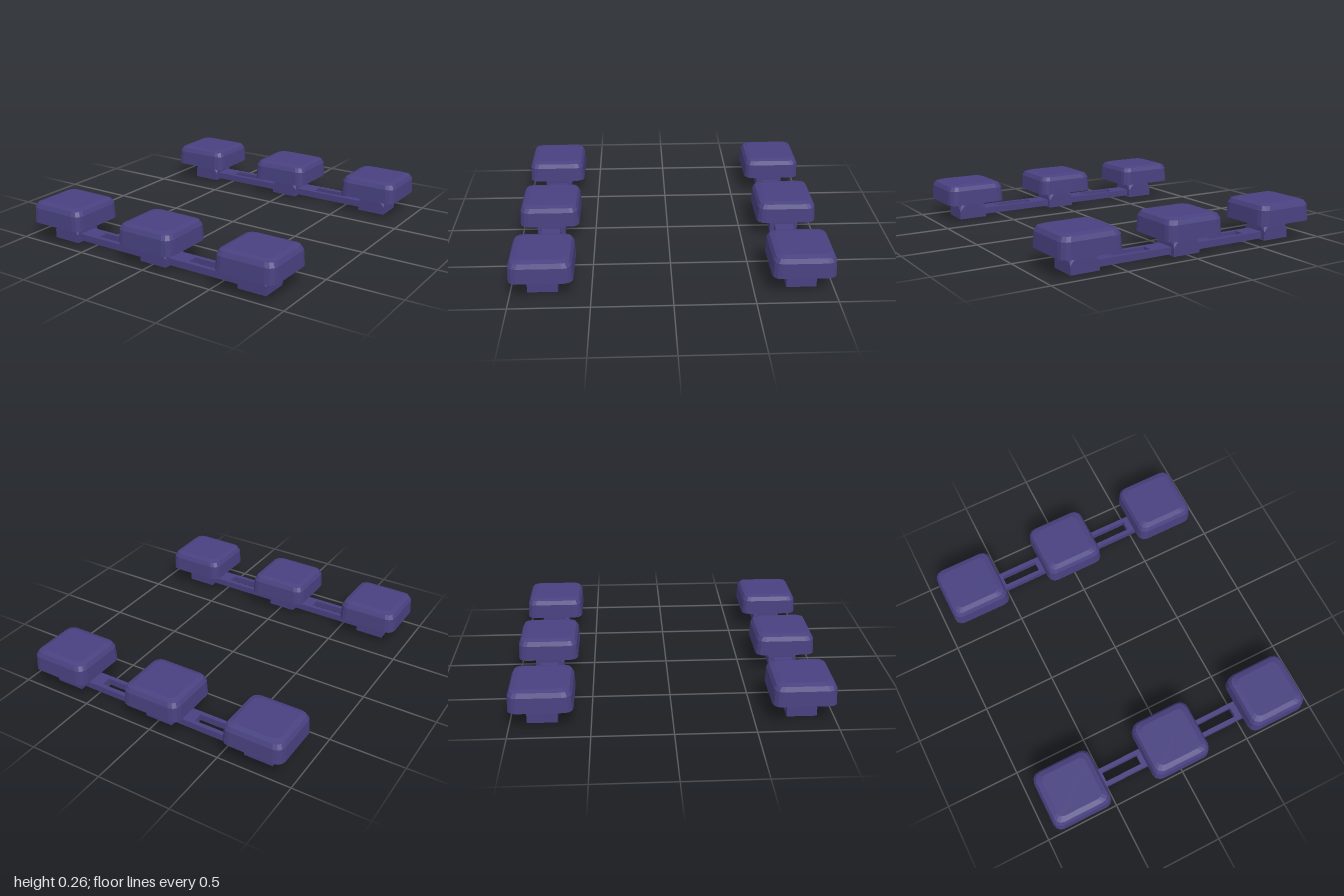
import * as THREE from 'three';

const indigo = new THREE.MeshStandardMaterial({ color: 0x484180 });
indigo.name = 'indigo';

// Rounded-rectangle ring at height y, counter-clockwise seen from above
function ring(y, hx, hz, r, seg) {
  const pts = [];
  const corners = [[1, -1], [-1, -1], [-1, 1], [1, 1]];
  corners.forEach(([sx, sz], q) => {
    for (let i = 0; i <= seg; i++) {
      const a = (q + i / seg) * Math.PI / 2;
      pts.push(new THREE.Vector3(
        sx * (hx - r) + r * Math.cos(a), y, sz * (hz - r) - r * Math.sin(a)));
    }
  });
  return pts;
}

// Closed, faceted solid through a stack of rings listed bottom to top
function loft(rings) {
  const pos = [];
  const n = rings[0].length;
  const tri = (a, b, c) => {
    const area = b.clone().sub(a).cross(c.clone().sub(a)).length();
    if (area > 1e-9) [a, b, c].forEach(p => pos.push(p.x, p.y, p.z));
  };
  for (let k = 0; k + 1 < rings.length; k++) {
    const lo = rings[k], hi = rings[k + 1];
    for (let i = 0; i < n; i++) {
      const j = (i + 1) % n;
      tri(lo[i], lo[j], hi[j]);
      tri(lo[i], hi[j], hi[i]);
    }
  }
  const bottom = rings[0], top = rings[rings.length - 1];
  for (let i = 1; i + 1 < n; i++) {
    tri(top[0], top[i], top[i + 1]);
    tri(bottom[0], bottom[i + 1], bottom[i]);
  }
  const g = new THREE.BufferGeometry();
  g.setAttribute('position', new THREE.Float32BufferAttribute(pos, 3));
  g.computeVertexNormals();
  return g;
}

// Rectangle outline, for the rail and its slots
function rect(path, x, hx, hy) {
  path.moveTo(x - hx, -hy);
  path.lineTo(x + hx, -hy);
  path.lineTo(x + hx, hy);
  path.lineTo(x - hx, hy);
  path.closePath();
  return path;
}

export function createModel() {
  const model = new THREE.Group();
  model.name = 'padRows';
  const spacing = 0.723;

  // Pad with slightly tapered walls and a bevelled top
  const padGeometry = loft([
    ring(0.125, 0.207, 0.199, 0.055, 3),
    ring(0.225, 0.202, 0.194, 0.055, 3),
    ring(0.253, 0.187, 0.179, 0.05, 3),
    ring(0.264, 0.155, 0.147, 0.04, 3),
  ]);

  // Post, square at the foot and rounded where it meets the pad
  const postGeometry = loft([
    ring(0, 0.098, 0.094, 0, 5),
    ring(0.055, 0.098, 0.094, 0, 5),
    ring(0.127, 0.098, 0.094, 0.08, 5),
  ]);

  // Flat rail with a slot between each pair of posts
  const outline = rect(new THREE.Shape(), 0, spacing, 0.064);
  for (const s of [-1, 1]) outline.holes.push(rect(new THREE.Path(), s * spacing / 2, 0.13, 0.034));
  const railGeometry = new THREE.ExtrudeGeometry(outline, { depth: 0.045, bevelEnabled: false });
  railGeometry.rotateX(-Math.PI / 2);
  railGeometry.translate(0, 0.011, 0);

  const add = (parent, geometry, name, x = 0) => {
    const mesh = new THREE.Mesh(geometry, indigo);
    mesh.name = name;
    mesh.position.x = x;
    parent.add(mesh);
  };

  // Two matching rows, front and back
  for (const [name, z] of [['frontRow', 0.801], ['backRow', -0.801]]) {
    const row = new THREE.Group();
    row.name = name;
    row.position.z = z;
    add(row, railGeometry, 'rail');
    for (const x of [-spacing, 0, spacing]) {
      add(row, postGeometry, 'post', x);
      add(row, padGeometry, 'pad', x);
    }
    model.add(row);
  }
  return model;
}
